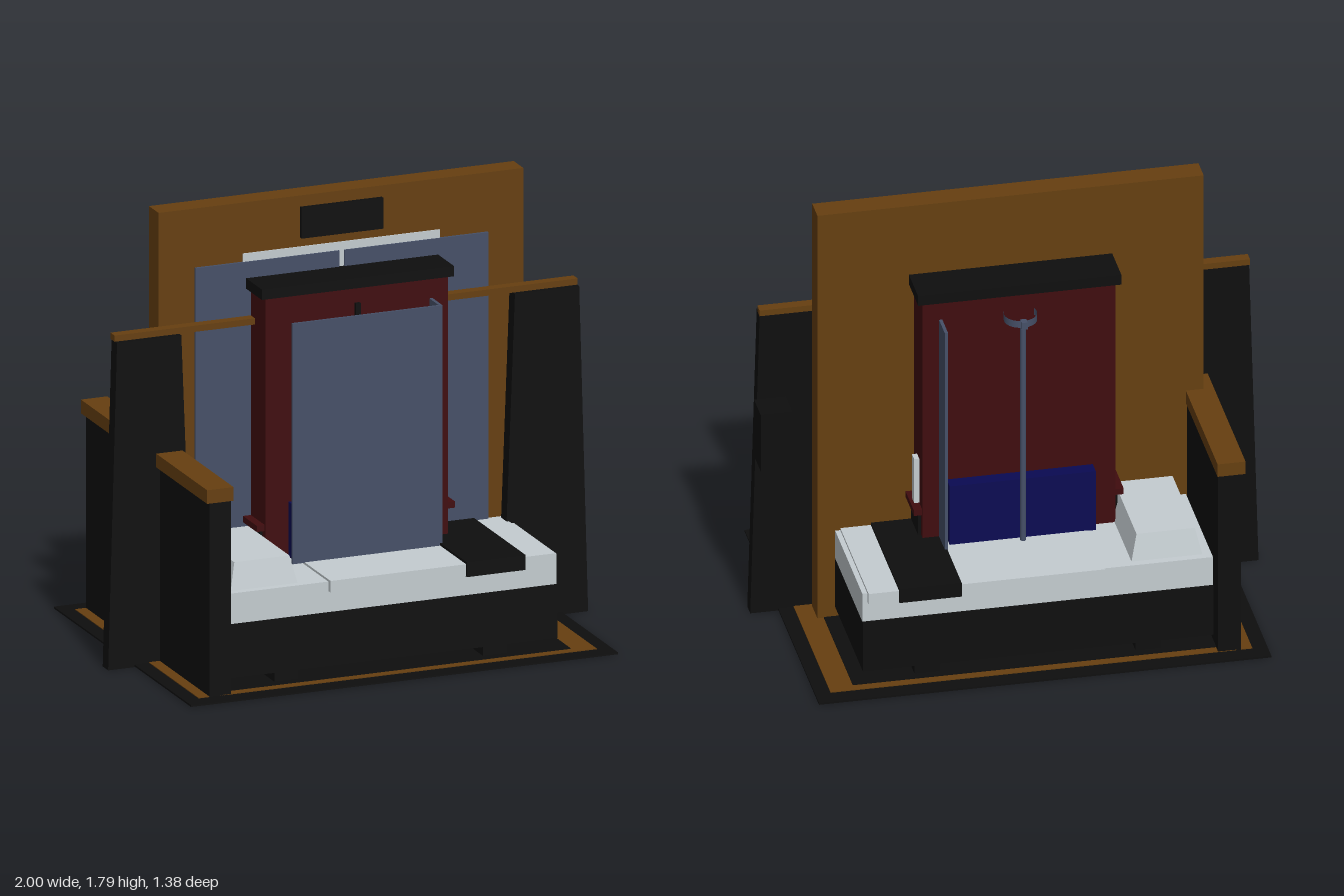
import * as THREE from 'three';

const mat = (name, color) => {
  const m = new THREE.MeshStandardMaterial({ color });
  m.name = name;
  return m;
};

export function createModel() {
  const black = mat('black', 0x0e0e0e);
  const brown = mat('wood brown', 0x663f10);
  const blue = mat('slate blue', 0x465068);
  const red = mat('dark red', 0x400c0e);
  const white = mat('linen white', 0xc4ccd0);
  const navy = mat('navy', 0x0a0a52);

  const model = new THREE.Group();
  const add = (name, geometry, material) => {
    const mesh = new THREE.Mesh(geometry, material);
    mesh.name = name;
    model.add(mesh);
    return mesh;
  };
  // Box given by its extents on each axis
  const box = (name, material, [x0, x1], [y0, y1], [z0, z1]) => {
    const g = new THREE.BoxGeometry(x1 - x0, y1 - y0, z1 - z0);
    g.translate((x0 + x1) / 2, (y0 + y1) / 2, (z0 + z1) / 2);
    return add(name, g, material);
  };

  // Layered rug
  box('rugBorder', black, [-0.89, 0.89], [0.003, 0.01], [-0.69, 0.69]);
  box('rugBand', brown, [-0.83, 0.83], [0, 0.013], [-0.62, 0.62]);
  box('rugCentre', black, [-0.735, 0.735], [0.012, 0.016], [-0.585, 0.585]);

  // Bed frame, mattress and blanket
  box('bedFrame', black, [-0.69, 0.69], [0.055, 0.27], [-0.56, 0.56]);
  for (const x of [-0.435, 0.435])
    for (const z of [-0.5, 0.5])
      box('bedFoot', black, [x - 0.05, x + 0.05], [0.01, 0.06], [z - 0.05, z + 0.05]);
  box('mattress', white, [-0.69, 0.69], [0.27, 0.393], [-0.55, 0.55]);
  box('blanket', white, [-0.26, 0.67], [0.355, 0.402], [-0.573, 0.573]);
  box('blanketBand', black, [0.305, 0.55], [0.352, 0.412], [-0.58, 0.58]);

  // Pillows taper towards the top
  for (const z of [-0.29, 0.29]) {
    const g = new THREE.BoxGeometry(0.28, 0.11, 0.46);
    const p = g.attributes.position;
    for (let i = 0; i < p.count; i++)
      if (p.getY(i) > 0) p.setXYZ(i, p.getX(i) * 0.82, p.getY(i), p.getZ(i) * 0.9);
    g.computeVertexNormals();
    add('pillow', g, white).position.set(-0.515, 0.445, z);
  }

  // End board with wooden armrest
  box('endBoard', black, [-0.785, -0.695], [0.01, 0.8], [-0.62, 0.62]);
  box('armrest', brown, [-0.8, -0.69], [0.795, 0.85], [-0.635, 0.635]);

  // Tall dividing panel with doors, trim and plaque
  box('tallPanel', brown, [-0.76, 0.76], [0.01, 1.795], [-0.047, 0.05]);
  box('doorTrim', white, [-0.41, 0.41], [0.02, 1.59], [0.05, 0.055]);
  for (const s of [-1, 1])
    box('door', blue, s < 0 ? [-0.61, -0.01] : [0.01, 0.61], [0.02, 1.557], [0.05, 0.061]);
  box('plaque', black, [-0.17, 0.17], [1.625, 1.75], [0.05, 0.065]);

  // Central cabinet
  box('cabinet', red, [-0.38, 0.38], [0.015, 1.45], [-0.205, 0.21]);
  box('cabinetTop', black, [-0.4, 0.4], [1.45, 1.492], [-0.22, 0.22]);
  box('cabinetPlinth', white, [-0.31, 0.31], [0.015, 0.055], [-0.31, 0.31]);
  for (const s of [-1, 1]) {
    const span = (a, b) => (s > 0 ? [a, b] : [-b, -a]);
    box('sideOpening', black, span(0.38, 0.392), [0.4, 0.51], [-0.18, 0.18]);
    box('sideShelf', red, span(0.38, 0.413), [0.51, 0.535], [-0.2, 0.2]);
    box('frontCushion', navy, span(0.2, 0.285), [0.4, 0.62], [0.21, 0.255]);
  }
  box('smallLight', white, [0.38, 0.4], [0.535, 0.73], [-0.145, -0.105]);
  box('sidePeg', red, [-0.49, -0.38], [0.42, 0.48], [-0.08, -0.05]);
  box('backCushion', navy, [-0.29, 0.285], [0.4, 0.66], [-0.262, -0.205]);
  box('frontHook', black, [-0.01, 0.01], [1.3, 1.39], [0.21, 0.225]);

  // Thin screens: one across the front, one at each end
  box('frontScreen', blue, [-0.31, 0.315], [0.4, 1.37], [0.302, 0.312]);
  for (const s of [-1, 1])
    box('sideScreen', blue, [0.302, 0.315], [0.4, 1.37], s > 0 ? [0.21, 0.304] : [-0.312, -0.205]);

  // Pole with a half-round head at the back
  const pole = new THREE.CylinderGeometry(0.012, 0.012, 0.97, 12);
  add('pole', pole, blue).position.set(0, 0.885, -0.28);
  const half = new THREE.CylinderGeometry(0.065, 0.065, 0.03, 20, 1, Math.PI / 2, Math.PI);
  const headMat = blue.clone();
  headMat.side = THREE.DoubleSide;
  add('poleHead', half, headMat).position.set(0, 1.363, -0.23);
  box('poleHeadTip', blue, [-0.012, 0.012], [1.348, 1.378], [-0.31, -0.28]);

  // Flared black drapes hung from a rail on both sides
  for (const s of [-1, 1]) {
    const pts = [[0.645, 0], [1, 0], [0.963, 1.315], [0.695, 1.315]];
    const shape = new THREE.Shape(pts.map(([x, y]) => new THREE.Vector2(x * s, y)));
    const g = new THREE.ExtrudeGeometry(shape, { depth: 0.055, bevelEnabled: false });
    add('drape', g, black).position.z = 0.067;
  }
  box('drapeRail', brown, [-0.965, 0.965], [1.315, 1.34], [0.06, 0.102]);

  // Box fixed to the outside of the drape
  box('wallBox', black, [0.86, 0.985], [0.695, 0.945], [-0.057, 0.067]);

  return model;
}
